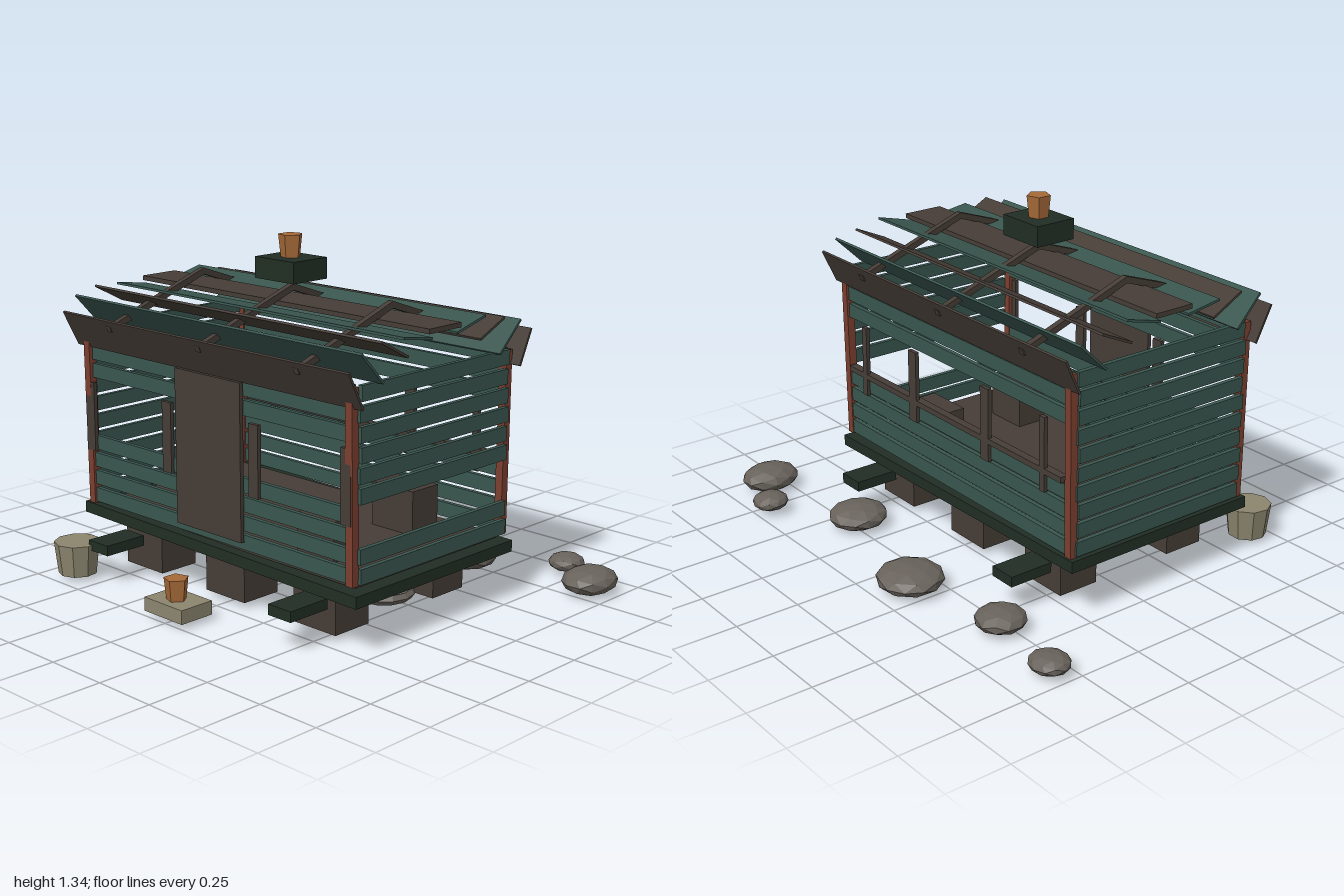
import * as THREE from 'three';

const mat = (name, color) => {
  const m = new THREE.MeshStandardMaterial({ color });
  m.name = name;
  m.flatShading = true;
  return m;
};

export function createModel() {
  const model = new THREE.Group();
  model.name = 'plankHut';
  const teal = mat('teal paint', 0x3a564f);
  const brown = mat('dark timber', 0x463d37);
  const green = mat('dark green', 0x212e24);
  const red = mat('red brown', 0x7c3f30);
  const beige = mat('beige', 0x8c866f);
  const orange = mat('orange clay', 0xa66a38);
  const grey = mat('stone grey', 0x68625b);

  const add = (name, geo, material, x, y, z) => {
    const mesh = new THREE.Mesh(geo, material);
    mesh.name = name;
    mesh.position.set(x, y, z);
    model.add(mesh);
    return mesh;
  };
  // Box given by its limits on each axis
  const box = (name, material, x0, x1, y0, y1, z0, z1) =>
    add(name, new THREE.BoxGeometry(x1 - x0, y1 - y0, z1 - z0), material,
      (x0 + x1) / 2, (y0 + y1) / 2, (z0 + z1) / 2);
  // Board running across x, sloping from (z0, y0) to (z1, y1)
  const slope = (name, material, x, width, z0, y0, z1, y1, thick) => {
    const dz = z1 - z0, dy = y1 - y0;
    const mesh = add(name, new THREE.BoxGeometry(width, thick, Math.hypot(dz, dy)), material,
      x, (y0 + y1) / 2, (z0 + z1) / 2);
    mesh.rotation.x = -Math.atan2(dy, dz);
    return mesh;
  };

  // Leaning floor platform and inner floor
  box('platform', green, -0.725, 0.725, 0.204, 0.248, -0.32, 0.525).rotation.z = -0.016;
  box('innerFloor', brown, -0.68, 0.68, 0.245, 0.262, -0.28, 0.48);

  // Foundation blocks
  for (const x of [-0.463, -0.005, 0.455])
    for (const z of [-0.155, 0.365])
      box('foundationBlock', brown, x - 0.103, x + 0.103, 0.03, 0.187, z - 0.085, z + 0.085);

  // Short steps sticking out front and back
  for (const x of [-0.495, 0.485])
    for (const z of [-0.36, 0.562])
      box('sideStep', green, x - 0.055, x + 0.055, 0.13, 0.17, z - 0.09, z + 0.09);

  // Wall boards, with window rows left open and a broken gap on the left wall
  for (let i = 0; i < 10; i++) {
    const y0 = 0.266 + i * 0.071, y1 = y0 + 0.056;
    const wobble = ((i * 7) % 3 - 1) * 0.004;
    if (i < 4 || i > 6)
      for (const z of [0.5, -0.3])
        box('longWallBoard', teal, -0.69 + wobble, 0.69 + wobble, y0, y1, z - 0.009, z + 0.009);
    for (const x of [-0.705, 0.705])
      if (x < 0 || (i !== 2 && i !== 3))
        box('endWallBoard', teal, x - 0.009, x + 0.009, y0, y1, -0.287 + wobble, 0.493 + wobble);
  }

  // Corner posts
  for (const x of [-0.69, 0.685])
    for (const z of [0.505, -0.3]) {
      const post = box('cornerPost', red, x - 0.016, x + 0.016, 0.26, 0.955, z - 0.016, z + 0.016);
      post.rotation.x = z > 0 ? 0.012 : -0.012;
    }

  // Door panel
  box('door', brown, -0.175, 0.168, 0.297, 0.885, 0.514, 0.53);

  // Window uprights and sills
  for (const x of [-0.68, -0.235, 0.225, 0.67])
    box('frontWindowUpright', brown, x - 0.024, x + 0.024, 0.475, 0.745, 0.506, 0.522);
  for (const x of [-0.555, -0.225, 0.225, 0.55]) {
    const w = Math.abs(x) > 0.4 ? 0.014 : 0.024;
    box('backWindowUpright', brown, x - w, x + w, 0.47, 0.755, -0.322, -0.306)
      .rotation.z = x > 0.4 ? 0.02 : 0;
  }
  box('backWindowSill', brown, -0.66, 0.66, 0.54, 0.562, -0.322, -0.29);

  // Crates indoors
  box('crate', brown, 0.3, 0.48, 0.262, 0.41, 0.255, 0.38);
  box('crate', brown, 0.28, 0.48, 0.262, 0.43, -0.18, -0.04);

  // Rafters
  for (const x of [-0.495, -0.005, 0.487]) {
    slope('frontRafter', brown, x, 0.024, 0.095, 1.15, 0.57, 0.985, 0.024);
    slope('backRafter', brown, x, 0.024, 0.105, 1.15, -0.365, 0.985, 0.024);
  }

  // Loose roof boards from front eave to back eave: z0, y0, z1, y1
  const roof = [
    [0.58, 1.02, 0.51, 0.885], [0.522, 1.075, 0.415, 0.96], [0.428, 1.1, 0.295, 1.03],
    [0.316, 1.095, 0.168, 1.073], [0.187, 1.1, 0.02, 1.1], [0.043, 1.074, -0.11, 1.113],
    [-0.09, 1.03, -0.222, 1.09], [-0.2, 0.96, -0.314, 1.07], [-0.314, 0.9, -0.375, 1.03],
  ];
  roof.forEach((r, i) =>
    slope('roofBoard', i % 2 ? teal : brown, -0.004 + (i % 3 - 1) * 0.002, 1.49, ...r, i === 4 ? 0.018 : 0.009));

  // Roof block and two clay pots
  box('roofBlock', green, -0.105, 0.097, 1.18, 1.26, 0.018, 0.19);
  const pot = (y, z) =>
    add('clayPot', new THREE.CylinderGeometry(0.047, 0.038, 0.084, 5), orange, -0.005, y + 0.042, z)
      .rotation.y = 0.3;
  pot(1.26, 0.103);
  box('potStand', beige, -0.105, 0.097, 0.03, 0.083, 0.61, 0.755);
  pot(0.08, 0.688);

  // Bucket
  add('bucket', new THREE.CylinderGeometry(0.09, 0.075, 0.125, 9), beige, -0.618, 0.089, 0.655);

  // Ring lying under the floor
  const ring = add('groundRing', new THREE.TorusGeometry(0.1, 0.019, 5, 12), grey, 0.41, 0.05, 0.038);
  ring.rotation.x = Math.PI / 2;

  // Flattened boulders: x, y, z, half sizes
  for (const [x, y, z, a, b, c] of [
    [-0.922, 0.055, -0.58, 0.079, 0.036, 0.074], [-0.592, 0.055, -0.532, 0.096, 0.043, 0.096],
    [-0.155, 0.058, -0.612, 0.132, 0.05, 0.128], [0.388, 0.058, -0.482, 0.112, 0.05, 0.118],
    [0.71, 0.057, -0.688, 0.071, 0.036, 0.071], [0.9, 0.06, -0.575, 0.1, 0.052, 0.118],
  ]) {
    const geo = new THREE.IcosahedronGeometry(1, 1).rotateY(x * 5).scale(a, b, c);
    add('boulder', geo, grey, x, y, z);
  }
  return model;
}
